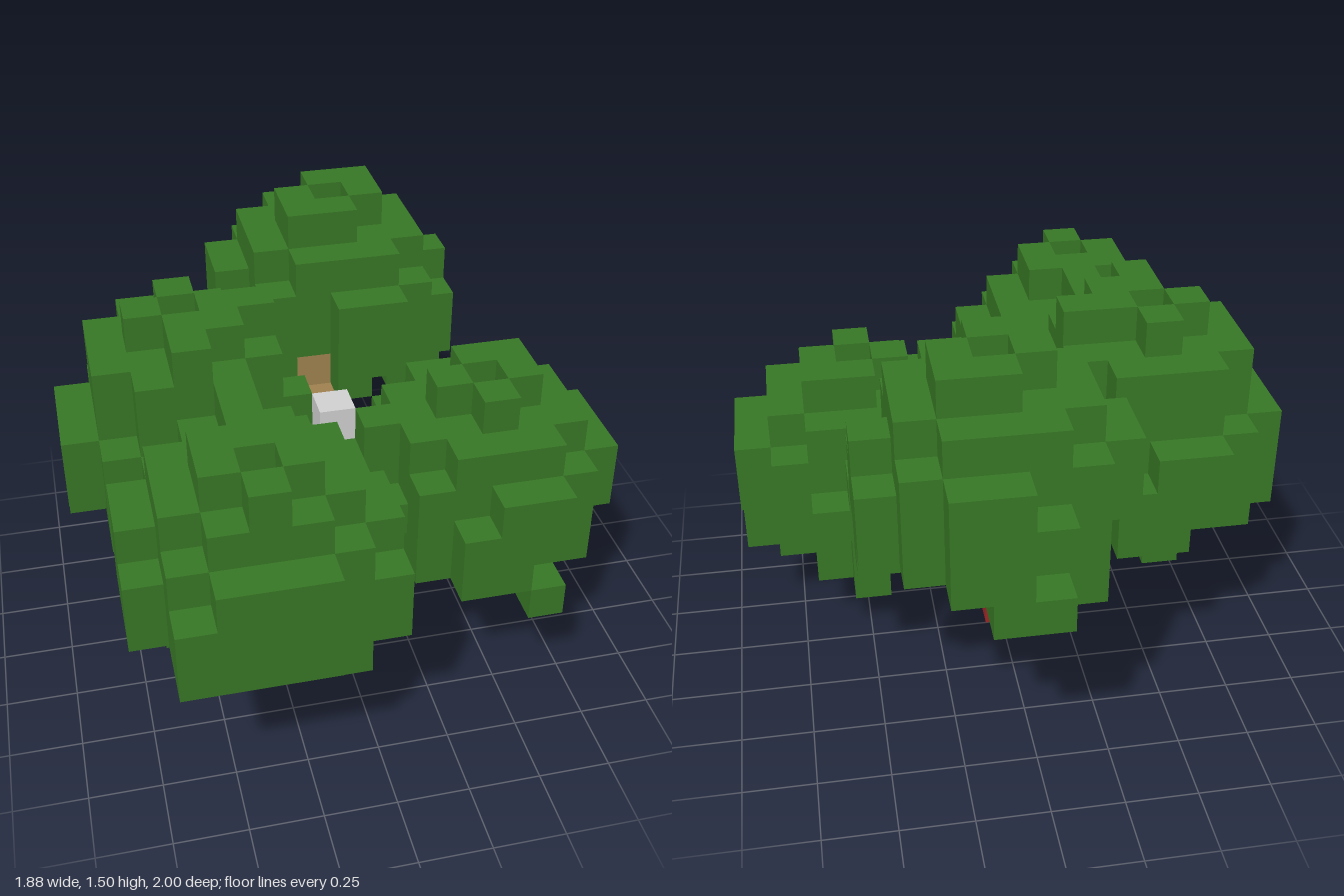
import * as THREE from 'three';
import { mergeGeometries } from 'three/addons/utils/BufferGeometryUtils.js';

const S = 0.125; // voxel size; the grid is 15 x 12 x 16 cells

const mat = (name, color) => Object.assign(new THREE.MeshStandardMaterial({ color }), { name });

// repeatable noise in 0..1 for a grid cell
function noise(a, b, c) {
  const n = Math.sin(a * 12.99 + b * 78.23 + c * 37.72) * 43758.5453;
  return n - Math.floor(n);
}

export function createModel() {
  const green = mat('leafGreen', 0x387826);
  const tan = mat('lightBark', 0xa08250);
  const brown = mat('darkBark', 0x6d5433);
  const red = mat('redBase', 0x9e2728);
  const grey = mat('greyBlock', 0xd2d2d2);

  const cells = new Set();
  const parts = new Map();
  const key = (i, j, k) => `${i},${j},${k}`;
  function put(part, i, j, k) {
    if (cells.has(key(i, j, k))) return;
    cells.add(key(i, j, k));
    parts.get(part).list.push([i, j, k]);
  }
  function addPart(name, material, list) {
    parts.set(name, { material, list: [] });
    list.forEach((c) => put(name, ...c));
  }

  // trunk and branches
  addPart('trunkBase', red, [[7, 0, 8]]);
  addPart('trunk', brown, [[7, 1, 8], [7, 2, 8], [6, 2, 7], [6, 3, 7]]);
  addPart('rightBranch', tan, [[8, 2, 8], [8, 3, 8], [9, 3, 8], [10, 4, 8], [10, 4, 9]]);
  addPart('backBranch', tan, [[6, 4, 6], [6, 5, 6], [7, 5, 6], [7, 6, 6], [7, 6, 5], [7, 7, 5], [8, 7, 4]]);
  addPart('leftBranch', tan, [[5, 4, 7], [5, 5, 7], [4, 5, 7]]);
  addPart('frontBranch', tan, [[6, 4, 8], [5, 4, 9], [5, 5, 10], [5, 5, 11]]);
  addPart('greyBlock', grey, [[7, 7, 8]]);

  // domed leaf crowns: centre cell, hole in the top, height stretch,
  // a rule for cells to keep, and extra single leaves
  const crowns = [
    { name: 'backCrown', c: [8, 8, 3], hole: [8, 11, 3], keep: (i, j, k) => i !== 7 || k !== 6,
      extra: [[7, 11, 4], [9, 11, 2]] },
    { name: 'rightCrown', c: [11, 5, 9], hole: [11, 8, 9], hang: 0.25,
      keep: (i, j, k) => j > 3 || (i >= 11 && k !== 8 && k < 12),
      extra: [[7, 6, 9], [7, 6, 10], [8, 7, 9], [11, 3, 6], [12, 3, 7], [14, 3, 9], [13, 3, 9],
        [12, 3, 11], [12, 3, 12], [8, 4, 9], [9, 4, 7], [10, 4, 12], [12, 8, 8]] },
    { name: 'leftCrown', c: [3, 6, 7], hole: [3, 10, 7], lift: 1,
      keep: (i, j, k) => j > 4 || ([2, 3, 5, 6].includes(i) && k >= 5),
      extra: [[3, 10, 9], [4, 10, 8], [5, 10, 7], [3, 4, 5]] },
    { name: 'frontCrown', c: [4, 6, 12], hole: [4, 9, 13],
      keep: (i, j, k) => j > 4 || ([2, 3, 5, 6].includes(i) && k < 13),
      extra: [[4, 9, 14], [3, 9, 13], [5, 9, 13], [4, 9, 10], [2, 5, 15], [2, 6, 15],
        [7, 6, 14], [7, 5, 14], [2, 4, 12], [3, 4, 13], [5, 4, 14], [6, 4, 14], [6, 5, 14]] },
  ];
  for (const { name, c: [ci, cj, ck], hole, lift = 0, hang = 0.4, keep, extra } of crowns) {
    addPart(name, green, extra);
    for (let x = -3; x <= 3; x++) for (let z = -3; z <= 3; z++) {
      const r2 = x * x + z * z;
      const n = noise(ci + x, cj, ck + z);
      // open underneath, with leaves hanging from the rim
      const bottom = r2 >= 4 ? (n < hang ? -2 : -1) : (n < 0.4 ? -1 : 0);
      for (let y = bottom; y <= 3 + lift; y++) {
        const [i, j, k] = [ci + x, cj + y, ck + z];
        const h = y > 2 ? y - lift : Math.max(y, -1);
        const d2 = r2 + h * h;
        const ragged = d2 === 11 && h < 3 && noise(i, j, k) < 0.5;
        if ((d2 <= 10 || ragged) && key(i, j, k) !== key(...hole) && keep(i, j, k)) put(name, i, j, k);
      }
    }
  }

  // one square per exposed voxel side: direction, x turn, y turn
  const Q = Math.PI / 2;
  const sides = [
    [[0, 0, 1], 0, 0], [[0, 0, -1], 0, 2 * Q], [[1, 0, 0], 0, Q],
    [[-1, 0, 0], 0, -Q], [[0, 1, 0], -Q, 0], [[0, -1, 0], Q, 0],
  ].map(([d, rx, ry]) => ({
    d,
    face: new THREE.PlaneGeometry(S, S).rotateX(rx).rotateY(ry)
      .translate(d[0] * S / 2, d[1] * S / 2, d[2] * S / 2),
  }));

  const group = new THREE.Group();
  group.name = 'tree';
  for (const [name, { material, list }] of parts) {
    const faces = [];
    for (const [i, j, k] of list) for (const { d, face } of sides) {
      if (cells.has(key(i + d[0], j + d[1], k + d[2]))) continue;
      faces.push(face.clone().translate((i - 7) * S, (j + 0.5) * S, (k - 7.5) * S));
    }
    const mesh = new THREE.Mesh(mergeGeometries(faces), material);
    mesh.name = name;
    group.add(mesh);
  }
  return group;
}
